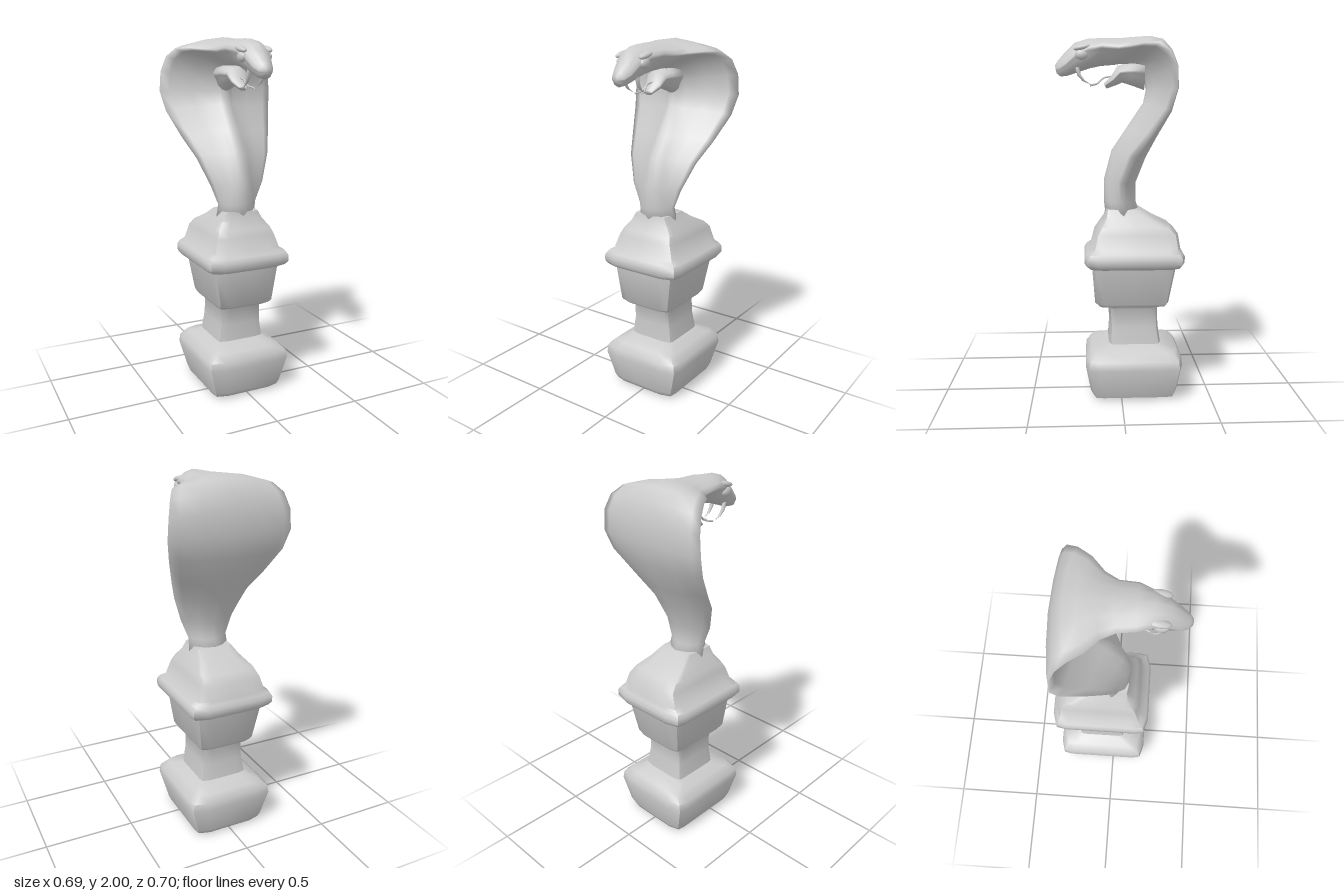
import * as THREE from 'three';
import { toCreasedNormals } from 'three/addons/utils/BufferGeometryUtils.js';

const mat = new THREE.MeshStandardMaterial({ color: 0xcccccc, side: THREE.DoubleSide });

// Skin a list of closed rings (same point count) and cap both ends
function loft(rings) {
  const n = rings[0].length, pos = [], idx = [];
  rings.forEach(r => r.forEach(p => pos.push(p[0], p[1], p[2])));
  for (let j = 0; j < rings.length - 1; j++) {
    for (let i = 0; i < n; i++) {
      const a = j * n + i, b = j * n + (i + 1) % n;
      idx.push(a, b + n, b, a, a + n, b + n);
    }
  }
  [0, rings.length - 1].forEach(j => {
    const c = pos.length / 3;
    for (let k = 0; k < 3; k++) pos.push(rings[j].reduce((s, p) => s + p[k], 0) / n);
    for (let i = 0; i < n; i++) {
      const a = j * n + i, b = j * n + (i + 1) % n;
      if (j === 0) idx.push(c, a, b); else idx.push(c, b, a);
    }
  });
  const g = new THREE.BufferGeometry();
  g.setAttribute('position', new THREE.Float32BufferAttribute(pos, 3));
  g.setIndex(idx);
  g.computeVertexNormals();
  return g;
}

// Complete a half ring (back to front on +x) by mirroring it
const mirrorRing = half => [...half, ...half.slice(1, -1).reverse().map(p => [-p[0], p[1], p[2]])];

// Softened rectangle: height, half width, front z, back z
function blockRing([y, w, f, b]) {
  const d = f - b;
  return mirrorRing([
    [0, y, b], [0.65 * w, y, b], [0.96 * w, y, b + 0.04 * d], [w, y, b + 0.13 * d], [w, y, (f + b) / 2],
    [w, y, f - 0.13 * d], [0.96 * w, y, f - 0.04 * d], [0.65 * w, y, f], [0, y, f],
  ]);
}

// Body section: back (z, y), front (z, y), half width w, edge depth e, belly half width c
function bodyRing([bz, by, fz, fy, w, e, c]) {
  const m = THREE.MathUtils.lerp;
  return mirrorRing([
    [0, 0], [0.5 * w, 0.25 * e], [0.85 * w, 0.65 * e], [w, e], [m(c, w, 0.82), m(e, 1, 0.15)],
    [m(c, w, 0.4), m(e, 1, 0.36)], [c, m(e, 1, 0.7)], [0.5 * c, 0.95], [0, 1],
  ].map(([x, s]) => [x, m(by, fy, s), m(bz, fz, s)]));
}

// Tapered curved spike through [x, y, z, radius] stations
function spike(stations) {
  return loft(stations.map(([x, y, z, r]) => Array.from({ length: 6 }, (_, i) => {
    const a = i * Math.PI / 3;
    return [x + r * Math.sin(a), y, z - r * Math.cos(a)];
  })).reverse());
}

export function createModel() {
  const model = new THREE.Group();
  const add = (name, geo) => {
    const mesh = new THREE.Mesh(geo, mat);
    mesh.name = name;
    model.add(mesh);
    return mesh;
  };
  const block = (name, levels) => add(name, toCreasedNormals(loft(levels.map(blockRing)), 0.85));

  // Foot, waist and flared capital of the pedestal
  block('foot', [
    [0, 0.14, 0.11, -0.25], [0.015, 0.2, 0.16, -0.3], [0.04, 0.21, 0.172, -0.312], [0.19, 0.25, 0.2, -0.34],
    [0.235, 0.243, 0.195, -0.335], [0.275, 0.2, 0.165, -0.31], [0.29, 0.16, 0.1, -0.25], [0.305, 0.14, 0.07, -0.225],
  ]);
  block('waist', [
    [0.28, 0.142, 0.07, -0.225], [0.4, 0.125, 0.062, -0.207], [0.5, 0.12, 0.07, -0.205], [0.53, 0.14, 0.09, -0.22],
  ]);
  block('capital', [
    [0.515, 0.13, 0.08, -0.21], [0.525, 0.155, 0.13, -0.255], [0.54, 0.165, 0.145, -0.265],
    [0.73, 0.193, 0.16, -0.3], [0.76, 0.2, 0.165, -0.31],
  ]);
  block('collar', [
    [0.74, 0.19, 0.155, -0.3], [0.755, 0.23, 0.19, -0.33], [0.775, 0.247, 0.203, -0.345], [0.81, 0.247, 0.203, -0.348],
    [0.832, 0.235, 0.19, -0.335], [0.85, 0.205, 0.165, -0.325], [0.93, 0.178, 0.145, -0.312], [0.97, 0.162, 0.12, -0.27],
    [1.015, 0.125, 0.09, -0.18], [1.06, 0.1, 0.08, -0.11],
  ]);

  // Neck, spread hood and upper head in one skin
  add('neckHoodAndHead', loft([
    [-0.12, 1.0, 0.08, 1.0, 0.12, 0.5, 0.08],
    [-0.085, 1.1, 0.092, 1.1, 0.115, 0.5, 0.07],
    [-0.085, 1.2, 0.092, 1.22, 0.16, 0.5, 0.06],
    [-0.14, 1.34, 0.05, 1.38, 0.22, 0.47, 0.06],
    [-0.2, 1.45, -0.03, 1.5, 0.27, 0.36, 0.06],
    [-0.275, 1.59, -0.125, 1.64, 0.322, 0.27, 0.06],
    [-0.305, 1.71, -0.14, 1.71, 0.343, 0.2, 0.06],
    [-0.302, 1.83, -0.13, 1.76, 0.335, 0.18, 0.06],
    [-0.275, 1.92, -0.1, 1.8, 0.313, 0.2, 0.06],
    [-0.23, 1.98, -0.07, 1.83, 0.28, 0.28, 0.06],
    [-0.17, 2.0, -0.03, 1.845, 0.235, 0.38, 0.06],
    [-0.09, 1.995, 0, 1.85, 0.165, 0.42, 0.07],
    [0, 1.987, 0.03, 1.845, 0.13, 0.4, 0.075],
    [0.1, 1.987, 0.11, 1.838, 0.12, 0.33, 0.07],
    [0.18, 1.982, 0.17, 1.825, 0.092, 0.35, 0.065],
    [0.25, 1.96, 0.23, 1.805, 0.074, 0.42, 0.055],
    [0.305, 1.905, 0.29, 1.785, 0.058, 0.5, 0.04],
    [0.34, 1.865, 0.325, 1.782, 0.04, 0.5, 0.03],
    [0.355, 1.84, 0.347, 1.8, 0.018, 0.5, 0.012],
  ].map(bodyRing)));

  // Open lower jaw
  add('lowerJaw', loft([
    [-0.13, 1.87, -0.13, 1.71, 0.08, 0.4, 0.05],
    [-0.05, 1.86, -0.06, 1.735, 0.075, 0.4, 0.045],
    [0.015, 1.84, -0.01, 1.75, 0.062, 0.4, 0.04],
    [0.05, 1.785, 0.025, 1.735, 0.05, 0.4, 0.03],
    [0.09, 1.745, 0.075, 1.718, 0.028, 0.4, 0.018],
  ].map(bodyRing)));

  for (const s of [1, -1]) {
    const side = s > 0 ? 'left' : 'right';
    // Eye with a brow ridge above it
    const eye = add(side + 'Eye', new THREE.SphereGeometry(1, 14, 10));
    eye.scale.set(0.02, 0.028, 0.035);
    eye.position.set(s * 0.073, 1.893, 0.21);
    const brow = add(side + 'Brow', new THREE.SphereGeometry(1, 12, 8));
    brow.scale.set(0.022, 0.016, 0.055);
    brow.position.set(s * 0.072, 1.932, 0.2);
    brow.rotation.x = 0.2;
    // Fangs curving backwards
    add(side + 'Fang', spike([
      [s * 0.042, 1.83, 0.235, 0.012], [s * 0.042, 1.79, 0.225, 0.01],
      [s * 0.04, 1.76, 0.2, 0.007], [s * 0.037, 1.742, 0.165, 0.001],
    ]));
    // One prong of the forked tongue
    const path = new THREE.CatmullRomCurve3([
      [0, 1.785, 0.02], [0, 1.775, 0.09], [s * 0.008, 1.745, 0.125], [s * 0.025, 1.735, 0.165],
    ].map(p => new THREE.Vector3(...p)));
    add(side + 'TongueProng', new THREE.TubeGeometry(path, 12, 0.005, 5));
  }
  return model;
}
